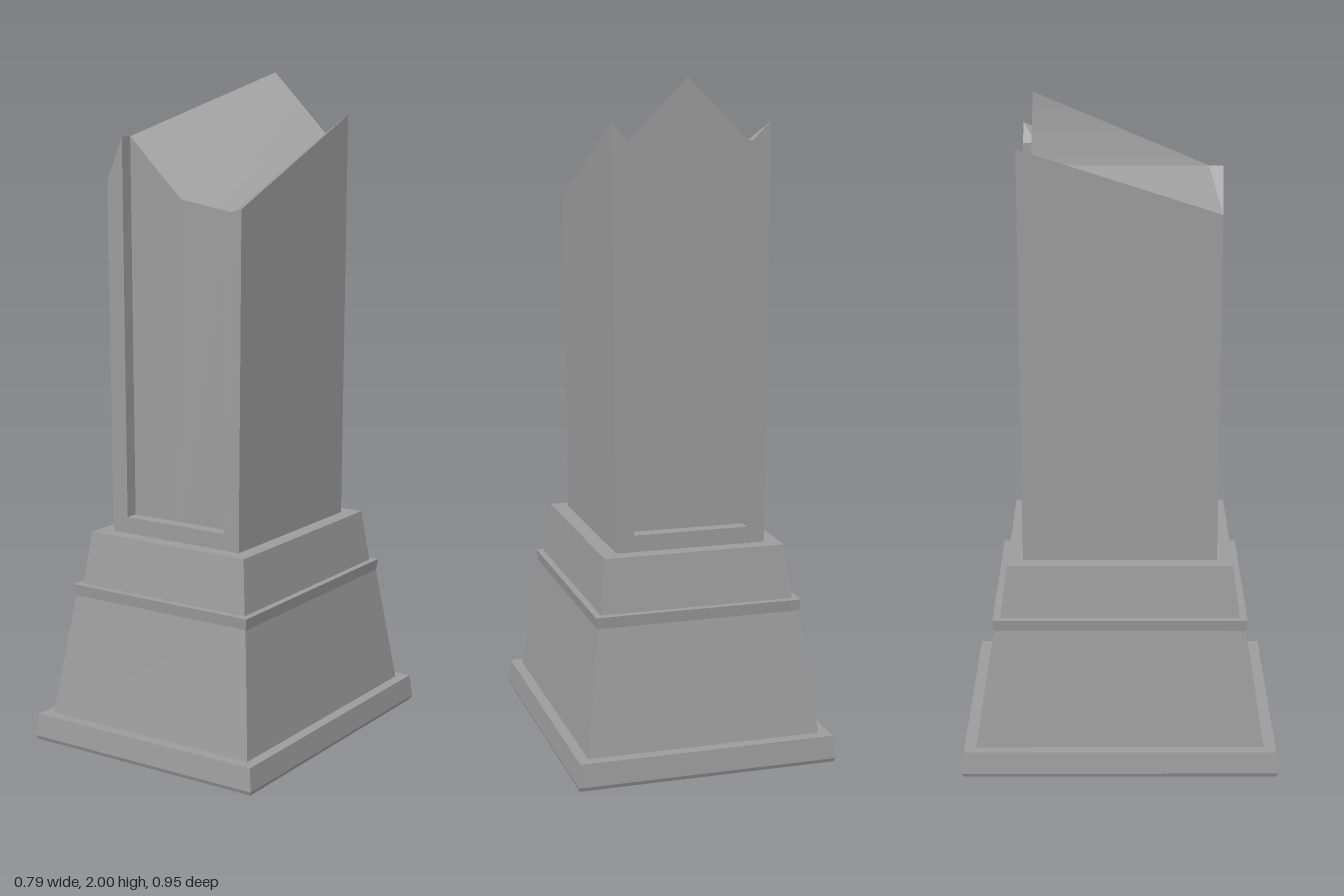
import * as THREE from 'three';

const GREY = 0x9c9c9c;
const material = new THREE.MeshStandardMaterial({ color: GREY, flatShading: true });
const smoothMaterial = new THREE.MeshStandardMaterial({ color: GREY });
const FOOT = 0.62;         // shaft starts just inside the base
const FOOT_SCALE = 0.965;  // slight narrowing of the shaft towards its foot

function add(group, name, geometry, mat = material) {
  const mesh = new THREE.Mesh(geometry, mat);
  mesh.name = name;
  group.add(mesh);
}

function surface(points, index) {
  const g = new THREE.BufferGeometry();
  g.setAttribute('position', new THREE.Float32BufferAttribute(points.flat(), 3));
  g.setIndex(index);
  g.computeVertexNormals();
  return g;
}

// Twisted quads shaded softly: each point averages the normals of its quads
function softPatch(points, quads) {
  const v = points.map((p) => new THREE.Vector3(...p));
  const normals = points.map(() => new THREE.Vector3());
  const index = [];
  for (const [a, b, c, d] of quads) {
    const n = v[c].clone().sub(v[a]).cross(v[d].clone().sub(v[b])).normalize();
    for (const i of [a, b, c, d]) normals[i].add(n);
    index.push(a, b, c, a, c, d);
  }
  const g = surface(points, index);
  normals.forEach((n, i) => g.attributes.normal.setXYZ(i, ...n.normalize().toArray()));
  return g;
}

// Box whose top and bottom have their own half widths and half depths
function taper(y0, y1, [x0, z0], [x1, z1]) {
  const g = new THREE.BoxGeometry(2, 1, 2);
  const p = g.attributes.position;
  for (let i = 0; i < p.count; i++) {
    const up = p.getY(i) > 0;
    p.setXYZ(i, p.getX(i) * (up ? x1 : x0), up ? y1 : y0, p.getZ(i) * (up ? z1 : z0));
  }
  g.computeVertexNormals();
  return g;
}

// Upright sides under a ring of [x, y, z] top points, plus any flat top faces.
// The ring runs anticlockwise seen from above; flip for a mirrored ring.
function column(top, topFaces = [], flip = false) {
  const n = top.length;
  const foot = top.map(([x, , z]) => [x * FOOT_SCALE, FOOT, z]);
  const index = [...topFaces];
  for (let i = 0; i < n; i++) {
    const j = (i + 1) % n;
    index.push(n + i, n + j, j, n + i, j, i);
  }
  if (flip) index.reverse();
  return surface([...top, ...foot], index);
}

export function createModel() {
  const model = new THREE.Group();
  model.name = 'monument';

  // Stepped base
  add(model, 'plinthBevel', taper(0, 0.012, [0.388, 0.472], [0.393, 0.477]));
  add(model, 'plinth', taper(0.012, 0.08, [0.393, 0.477], [0.385, 0.47]));
  add(model, 'lowerPedestal', taper(0.08, 0.475, [0.353, 0.435], [0.304, 0.371]));
  add(model, 'pedestalLip', taper(0.44, 0.48, [0.307, 0.375], [0.313, 0.38]));
  add(model, 'upperPedestal', taper(0.48, 0.64, [0.293, 0.358], [0.274, 0.336]));

  // Sills below the recessed front and back panels
  add(model, 'panelSill', taper(FOOT, 0.69, [0.175, 0.29], [0.175, 0.29]));

  // Recessed core with a slanted, twisted top
  const X = 0.18, Z = 0.25;
  const core = [
    [-X, 1.82, Z], [0, 1.645, Z], [X, 1.615, Z],
    [X, 1.82, -Z], [0, 2, -Z], [-X, 1.82, -Z],
  ];
  add(model, 'core', column(core));
  add(model, 'slantedTop', softPatch(core, [[0, 1, 4, 5], [1, 2, 3, 4]]), smoothMaterial);

  // Side walls, standing proud of the panels; heights differ left and right
  const walls = [
    { name: 'leftWall', s: 1, outF: 1.63, outB: 1.875, inF: 1.615, inB: 1.82 },
    { name: 'rightWall', s: -1, outF: 1.69, outB: 1.875, inF: 1.82, inB: 1.82 },
  ];
  for (const { name, s, outF, outB, inF, inB } of walls) {
    const ring = [
      [s * X, inF, 0.29], [s * 0.235, outF, 0.29], [s * 0.235, outB, -0.29],
      [s * X, inB, -0.29], [s * X, inB, -Z], [s * X, inF, Z],
    ];
    const capQuad = s > 0 ? [1, 2, 4, 5] : [1, 5, 4, 2];
    add(model, name, column(ring, [0, 1, 5, 2, 3, 4], s < 0));
    add(model, name + 'Top', softPatch(ring, [capQuad]), smoothMaterial);
  }
  return model;
}
